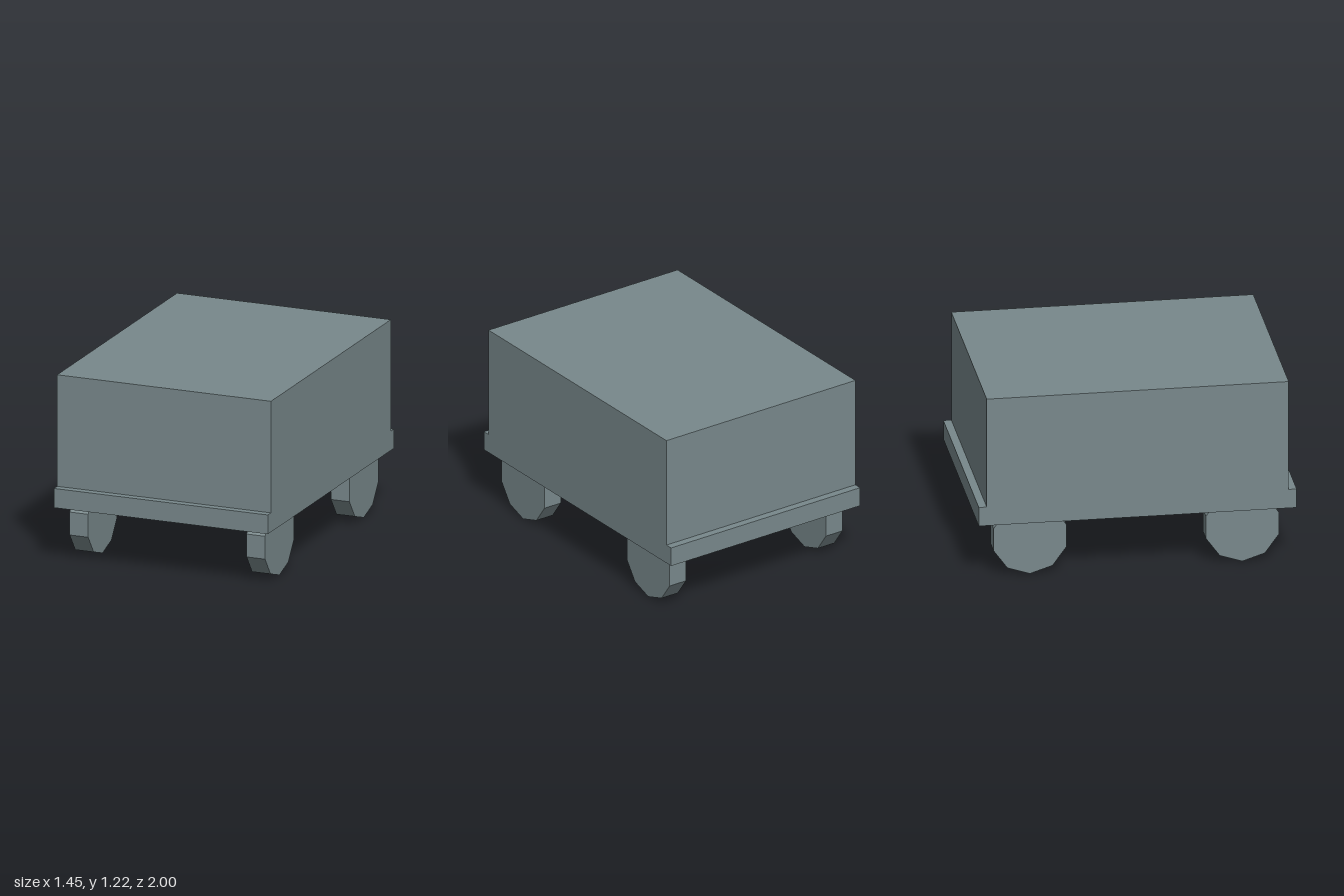
import * as THREE from 'three';

export function createModel() {
  const model = new THREE.Group();
  model.name = 'cart';

  const slateGrey = new THREE.MeshStandardMaterial({ color: 0x78888b });
  slateGrey.name = 'slateGrey';

  const add = (name, geometry, x, y, z) => {
    const mesh = new THREE.Mesh(geometry, slateGrey);
    mesh.name = name;
    mesh.position.set(x, y, z);
    model.add(mesh);
  };

  // Flat chassis, slightly longer than the box it carries
  const width = 1.446, deckBottom = 0.365, deckTop = 0.49, boxTop = 1.215;
  add('chassis', new THREE.BoxGeometry(width, deckTop - deckBottom, 2), 0, (deckBottom + deckTop) / 2, 0);

  // Cargo box
  add('cargoBox', new THREE.BoxGeometry(width, boxTop - deckTop, 1.9), 0, (deckTop + boxTop) / 2, 0);

  // Ten-sided wheels with a corner pointing straight down, tops sunk into the chassis
  const radius = 0.241;
  const wheel = new THREE.CylinderGeometry(radius, radius, 0.125, 10, 1, false, Math.PI / 2)
    .rotateZ(Math.PI / 2)
    .toNonIndexed();
  wheel.computeVertexNormals();
  for (const [side, x] of [['Left', 0.598], ['Right', -0.598]]) {
    for (const [end, z] of [['front', 0.668], ['back', -0.668]]) {
      add(`${end}${side}Wheel`, wheel, x, radius, z);
    }
  }

  return model;
}
